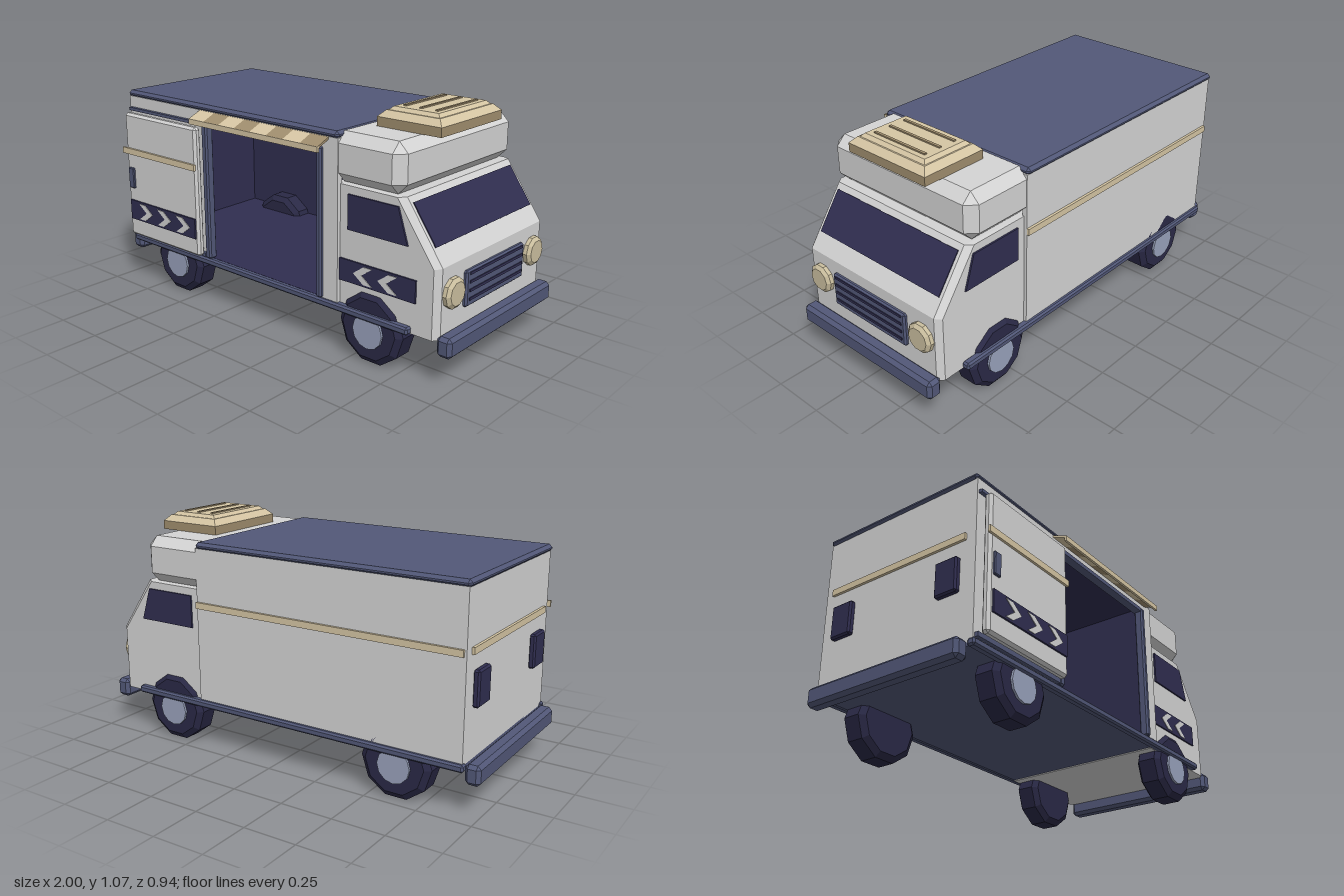
import * as THREE from 'three';
import { ConvexGeometry } from 'three/addons/geometries/ConvexGeometry.js';

const mat = (name, color) => {
  const m = new THREE.MeshStandardMaterial({ color });
  m.name = name;
  return m;
};

export function createModel() {
  const van = new THREE.Group();
  van.name = 'van';
  const grey = mat('body grey', 0xd4d4d4);
  const navy = mat('dark navy', 0x302e50);
  const slate = mat('slate blue', 0x525878);
  const tan = mat('tan', 0xd6c6a4);
  const brown = mat('brown', 0xa08e6e);
  const hubBlue = mat('hub blue', 0x99a2bc);
  const tyreNavy = mat('tyre navy', 0x2a2946);
  const lamp = mat('lamp', 0xcbbf9f);
  const MID = -0.03; // centre line of the body in z

  const add = (name, geo, m) => {
    const mesh = new THREE.Mesh(geo, m);
    mesh.name = name;
    van.add(mesh);
    return mesh;
  };
  // box from its limits
  const box = (name, m, x0, x1, y0, y1, z0, z1) => add(name,
    new THREE.BoxGeometry(x1 - x0, y1 - y0, z1 - z0)
      .translate((x0 + x1) / 2, (y0 + y1) / 2, (z0 + z1) / 2), m);
  const hull = (name, m, pts) =>
    add(name, new ConvexGeometry(pts.map(p => new THREE.Vector3(...p))), m);
  // box from its limits with every edge chamfered by c
  const chamfer = (name, m, x0, x1, y0, y1, z0, z1, c) => {
    const pts = [];
    for (const [x, sx] of [[x0, 1], [x1, -1]])
      for (const [y, sy] of [[y0, 1], [y1, -1]])
        for (const [z, sz] of [[z0, 1], [z1, -1]])
          pts.push([x, y + sy * c, z + sz * c], [x + sx * c, y, z + sz * c], [x + sx * c, y + sy * c, z]);
    return hull(name, m, pts);
  };
  // flat plate from an outline in x and y, facing +z
  const plate = (name, m, outline, z, depth) => add(name,
    new THREE.ExtrudeGeometry(new THREE.Shape(outline.map(p => new THREE.Vector2(...p))),
      { depth, bevelEnabled: false }).translate(0, 0, z), m);

  // cargo body, hollow behind the side opening
  box('farWall', grey, -0.93, 0.43, 0.22, 0.96, -0.455, -0.43);
  box('rearWall', grey, -0.93, -0.905, 0.22, 0.96, -0.43, 0.37);
  box('sideWallRear', grey, -0.93, -0.38, 0.22, 0.96, 0.37, 0.398);
  box('sideWallFront', grey, 0.34, 0.43, 0.22, 0.96, 0.37, 0.398);
  box('sideHeader', grey, -0.38, 0.34, 0.91, 0.96, 0.37, 0.398);
  box('underfloor', slate, -0.93, 0.43, 0.205, 0.225, -0.45, 0.395);
  chamfer('roof', slate, -0.94, 0.43, 0.953, 0.988, -0.462, 0.402, 0.014);

  // interior lining
  box('innerFloor', navy, -0.905, 0.375, 0.225, 0.235, -0.43, 0.39);
  box('innerFarWall', navy, -0.905, 0.375, 0.235, 0.95, -0.43, -0.42);
  box('innerRearWall', navy, -0.905, -0.895, 0.235, 0.95, -0.42, 0.37);
  box('innerBulkhead', navy, 0.365, 0.375, 0.235, 0.95, -0.42, 0.37);
  box('innerCeiling', navy, -0.905, 0.375, 0.94, 0.95, -0.42, 0.37);
  box('innerSideWall', navy, -0.905, -0.38, 0.235, 0.94, 0.36, 0.37);

  // door frame
  chamfer('framePostRear', slate, -0.392, -0.355, 0.235, 0.915, 0.37, 0.415, 0.008);
  chamfer('framePostFront', slate, 0.32, 0.35, 0.235, 0.915, 0.37, 0.415, 0.008);
  box('frameTop', slate, -0.36, 0.325, 0.895, 0.915, 0.37, 0.41);
  box('doorRail', slate, -0.92, -0.39, 0.89, 0.905, 0.398, 0.415);
  box('doorLowerRail', slate, -0.92, -0.39, 0.24, 0.26, 0.398, 0.415);

  // sliding door, open
  chamfer('slidingDoor', grey, -0.91, -0.39, 0.25, 0.885, 0.415, 0.455, 0.012);
  box('doorStripe', tan, -0.925, -0.392, 0.68, 0.71, 0.455, 0.466);
  chamfer('doorHandle', slate, -0.89, -0.85, 0.505, 0.61, 0.45, 0.466, 0.004);

  // chevron panels
  const chevrons = (x0, x1, z, starts, dir) => {
    box('chevronPanel', navy, x0, x1, 0.34, 0.44, z, z + 0.008);
    for (const s of starts) {
      const pts = [[0, 0.35], [0.045, 0.35], [0.1, 0.39], [0.045, 0.43], [0, 0.43], [0.055, 0.39]]
        .map(([x, y]) => [s + dir * x, y]);
      plate('chevron', grey, pts, z + 0.008, 0.003);
    }
  };
  chevrons(-0.89, -0.405, 0.455, [-0.82, -0.68, -0.54], 1);
  chevrons(0.432, 0.83, 0.38, [0.61, 0.74], -1);

  // stripes on the far side and the rear
  box('farStripe', tan, -0.92, 0.43, 0.68, 0.71, -0.467, -0.455);
  box('rearStripe', tan, -0.942, -0.93, 0.68, 0.71, -0.41, 0.35);

  // cab: side profile with chamfered front corners
  const cab = [];
  for (const s of [-1, 1]) {
    for (const [x, y] of [[0.4, 0.2], [0.91, 0.2], [0.91, 0.505], [0.725, 0.765], [0.4, 0.765]])
      cab.push([x, y, MID + s * 0.41]);
    for (const [x, y] of [[0.935, 0.2], [0.935, 0.51], [0.755, 0.768]])
      cab.push([x, y, MID + s * 0.385]);
  }
  hull('cab', grey, cab);
  chamfer('overhead', grey, 0.38, 0.75, 0.768, 0.985, -0.452, 0.394, 0.045);

  // windscreen lying on the sloped front
  const slope = Math.atan2(0.18, 0.258);
  const glass = add('windscreen', new THREE.BoxGeometry(0.009, 0.2, 0.74), navy);
  glass.position.set(0.829, 0.662, MID);
  glass.rotation.z = slope;

  // side windows
  const win = [[0.475, 0.575], [0.785, 0.575], [0.735, 0.73], [0.475, 0.73]];
  plate('sideWindow', navy, win, 0.38, 0.008);
  plate('sideWindow', navy, win, -0.448, 0.008);

  // grille and headlights
  chamfer('grille', slate, 0.925, 0.952, 0.295, 0.455, -0.255, 0.2, 0.008);
  for (let i = 0; i < 4; i++)
    box('grilleSlot', navy, 0.952, 0.956, 0.323 + i * 0.038, 0.335 + i * 0.038, -0.237, 0.18);
  for (const s of [-1, 1]) {
    const pts = [];
    for (let i = 0; i < 10; i++) {
      const a = (i + 0.5) * Math.PI / 5, c = Math.cos(a), d = Math.sin(a);
      for (const [x, r] of [[0.93, 0.068], [0.953, 0.068], [0.966, 0.052]])
        pts.push([x, 0.39 + r * c, MID + s * 0.315 + r * d]);
    }
    hull('headlight', lamp, pts);
  }

  // bumpers and sills
  chamfer('frontBumper', slate, 0.928, 1, 0.138, 0.228, -0.44, 0.38, 0.016);
  chamfer('rearBumper', slate, -1, -0.93, 0.138, 0.228, -0.44, 0.38, 0.016);
  chamfer('sill', slate, -0.94, 0.81, 0.2, 0.234, 0.375, 0.413, 0.008);
  chamfer('sill', slate, -0.94, 0.81, 0.2, 0.234, -0.473, -0.435, 0.008);

  // rear lamps
  for (const s of [-1, 1])
    chamfer('rearLamp', navy, -0.957, -0.925, 0.45, 0.61, MID + s * 0.295 - 0.058, MID + s * 0.295 + 0.058, 0.008);

  // wheels
  for (const x of [-0.62, 0.6])
    for (const s of [-1, 1]) {
      const pts = [];
      for (let i = 0; i < 10; i++) {
        const a = (i + 0.5) * Math.PI / 5;
        for (const [w, r] of [[-0.062, 0.14], [-0.042, 0.168], [0.042, 0.168], [0.062, 0.14]])
          pts.push([x + r * Math.sin(a), 0.16 + r * Math.cos(a), MID + s * 0.363 + w]);
      }
      hull('tyre', tyreNavy, pts);
      const hub = add('hub', new THREE.CylinderGeometry(0.078, 0.078, 0.03, 12).toNonIndexed(), hubBlue);
      hub.geometry.rotateX(Math.PI / 2);
      hub.geometry.computeVertexNormals();
      hub.position.set(x, 0.15, MID + s * 0.42);
    }

  // roof vent: skirt, chamfered lid, raised panel and slats
  const taper = (name, m, y0, y1, g0, g1) => {
    const pts = [];
    for (const [y, g] of [[y0, g0], [y1, g1]])
      for (const x of [0.475 + g, 0.8 - g])
        for (const z of [-0.255 + g, 0.2 - g]) pts.push([x, y, z]);
    hull(name, m, pts);
  };
  taper('ventSkirt', brown, 0.985, 1.026, 0, 0);
  taper('ventLid', tan, 1.026, 1.054, 0, 0.028);
  taper('ventPanel', tan, 1.054, 1.069, 0.035, 0.05);
  for (let i = 0; i < 3; i++)
    box('ventSlat', brown, 0.553 + i * 0.08, 0.566 + i * 0.08, 1.069, 1.075, -0.18, 0.12);

  // striped awning over the opening
  const W = 0.79 / 8;
  for (let i = 0; i < 8; i++) {
    const strip = add('awningStrip', new THREE.BoxGeometry(W, 0.01, 0.08), i % 2 ? brown : tan);
    strip.position.set(-0.41 + (i + 0.5) * W, 0.94, 0.43);
    strip.rotation.x = 0.4;
  }
  box('awningValance', tan, -0.41, 0.38, 0.905, 0.93, 0.459, 0.47);

  return van;
}
